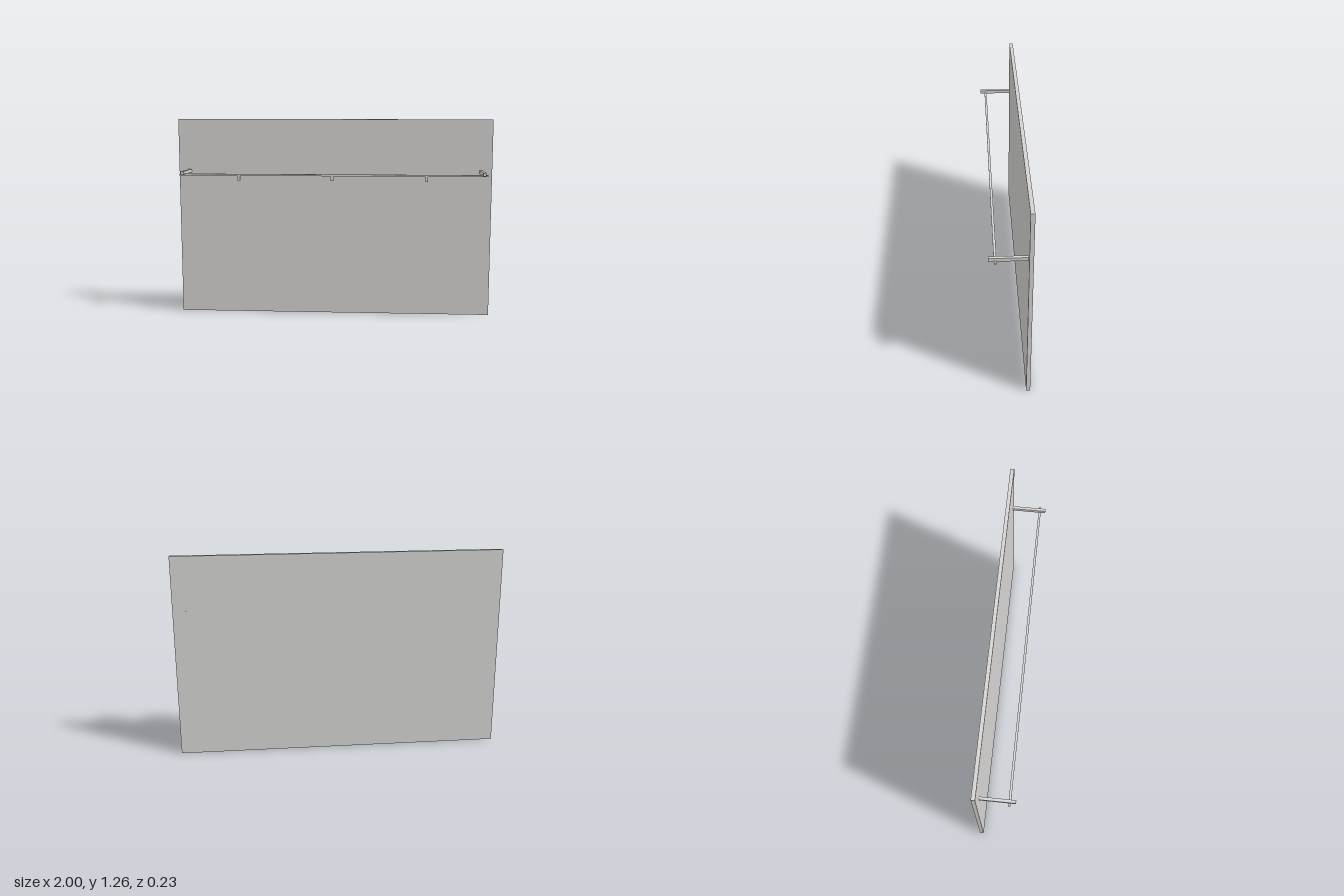
import * as THREE from 'three';

export function createModel() {
  const model = new THREE.Group();
  model.name = 'wallRack';

  const gray = new THREE.MeshStandardMaterial({ color: 0xd4d3d1 });
  gray.name = 'light warm gray';

  // Box placed by its centre
  function addBox(name, size, position) {
    const mesh = new THREE.Mesh(new THREE.BoxGeometry(...size), gray);
    mesh.name = name;
    mesh.position.set(...position);
    model.add(mesh);
  }

  // Upright back panel
  addBox('backPanel', [2, 1.256, 0.023], [0, 0.628, -0.1025]);

  // Arms run through the panel and show at the back
  for (const [side, x] of [['left', 0.93], ['right', -0.93]]) {
    addBox(side + 'Arm', [0.018, 0.021, 0.231], [x, 0.926, 0]);
  }

  // Rail hung beneath the arms
  addBox('rail', [1.91, 0.011, 0.014], [0, 0.915, 0.08]);

  // Pegs below the rail
  for (const x of [-0.581, 0, 0.581]) {
    addBox('peg', [0.016, 0.034, 0.013], [x, 0.896, 0.08]);
  }

  return model;
}
